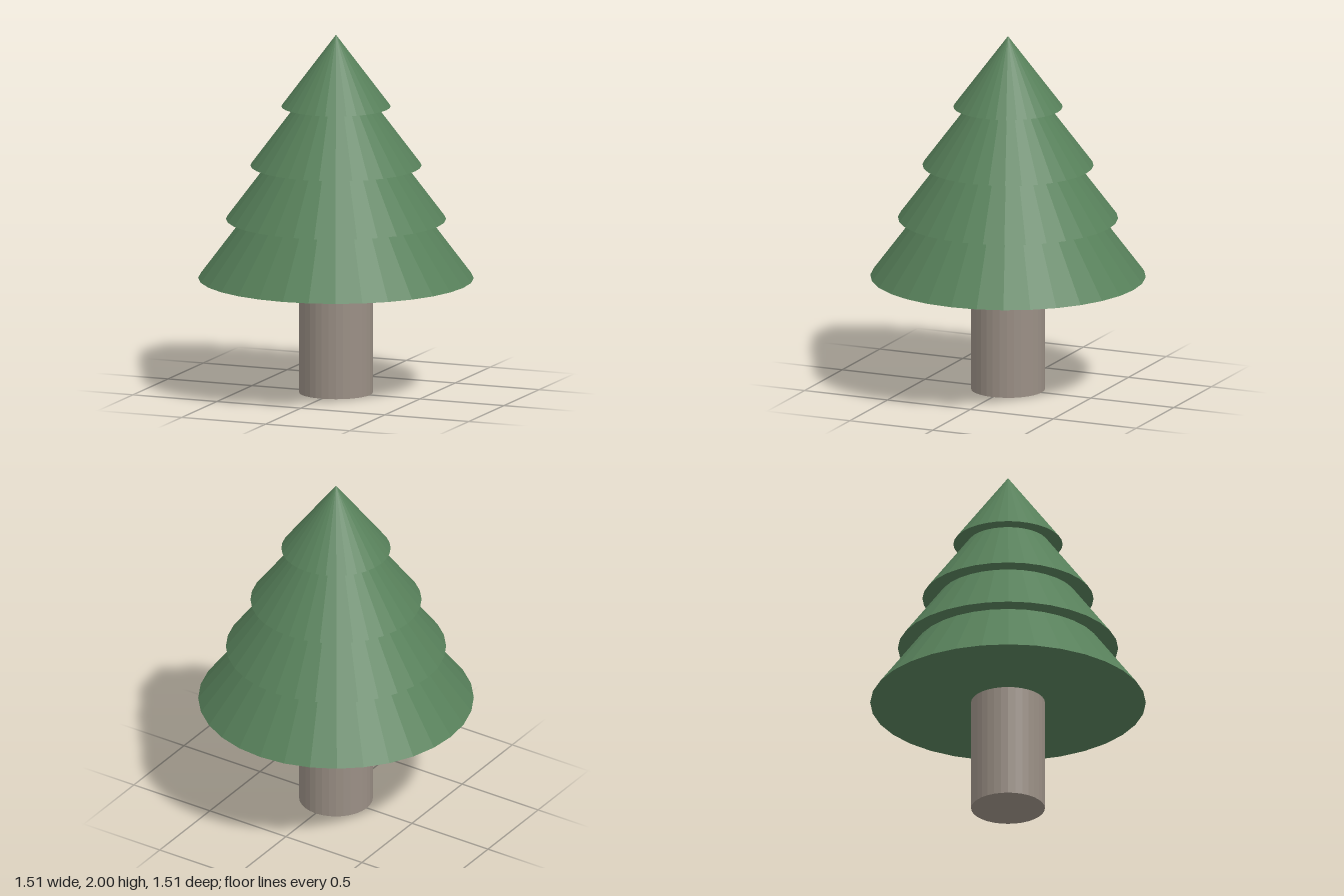
import * as THREE from 'three';

const SIDES = 32;
const SLOPE = 0.75; // radius lost per unit of height

export function createModel() {
  const tree = new THREE.Group();
  tree.name = 'tree';
  const foliage = new THREE.MeshStandardMaterial({ color: 0x57805a, flatShading: true });
  const bark = new THREE.MeshStandardMaterial({ color: 0x9a8f85, flatShading: true });

  // Trunk, ending at the underside of the lowest tier
  const trunkHeight = 0.64;
  const trunk = new THREE.Mesh(new THREE.CylinderGeometry(0.203, 0.203, trunkHeight, SIDES), bark);
  trunk.name = 'trunk';
  trunk.position.y = trunkHeight / 2;
  tree.add(trunk);

  // Foliage tiers, bottom to top: [base height, base radius]
  const tiers = [[0.64, 0.757], [0.97, 0.605], [1.27, 0.47], [1.6, 0.3]];
  tiers.forEach(([base, radius], i) => {
    const height = radius / SLOPE;
    const tier = new THREE.Mesh(new THREE.ConeGeometry(radius, height, SIDES), foliage);
    tier.name = `foliageTier${i + 1}`;
    tier.position.y = base + height / 2;
    tree.add(tier);
  });

  return tree;
}
